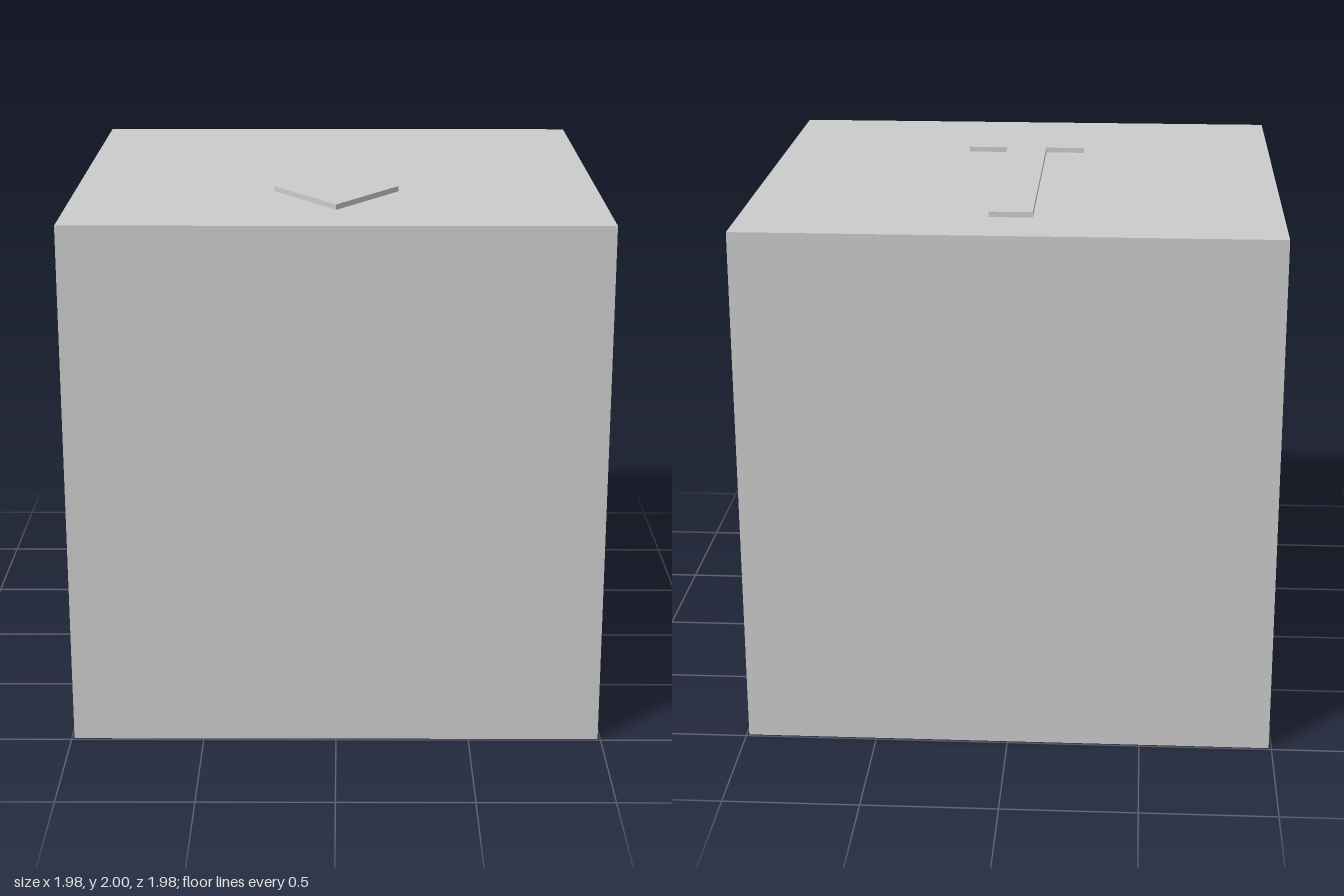
import * as THREE from 'three';

const SIZE = 1.98; // cube edge
const RELIEF = 0.02; // height of the raised arrow

export function createModel() {
  const model = new THREE.Group();
  model.name = 'directionCube';
  const material = new THREE.MeshStandardMaterial({ color: 0xcccccc, flatShading: true });

  // Cube body standing on the ground
  const body = new THREE.Mesh(new THREE.BoxGeometry(SIZE, SIZE, SIZE), material);
  body.name = 'cubeBody';
  body.position.y = SIZE / 2;
  model.add(body);

  // Arrow outline: shape y becomes z, so the tip points to the front
  const right = [[0.08, -0.72], [0.08, 0.38], [0.235, 0.38]];
  const left = right.map(([x, z]) => [-x, z]).reverse();
  const outline = [...right, [0, 0.72], ...left].map(([x, z]) => new THREE.Vector2(x, z));
  const arrowGeometry = new THREE.ExtrudeGeometry(new THREE.Shape(outline), {
    depth: RELIEF,
    bevelEnabled: false,
  });
  arrowGeometry.rotateX(Math.PI / 2);

  // Raised arrow on the top face
  const arrow = new THREE.Mesh(arrowGeometry, material);
  arrow.name = 'topArrow';
  arrow.position.y = SIZE + RELIEF;
  model.add(arrow);

  return model;
}
